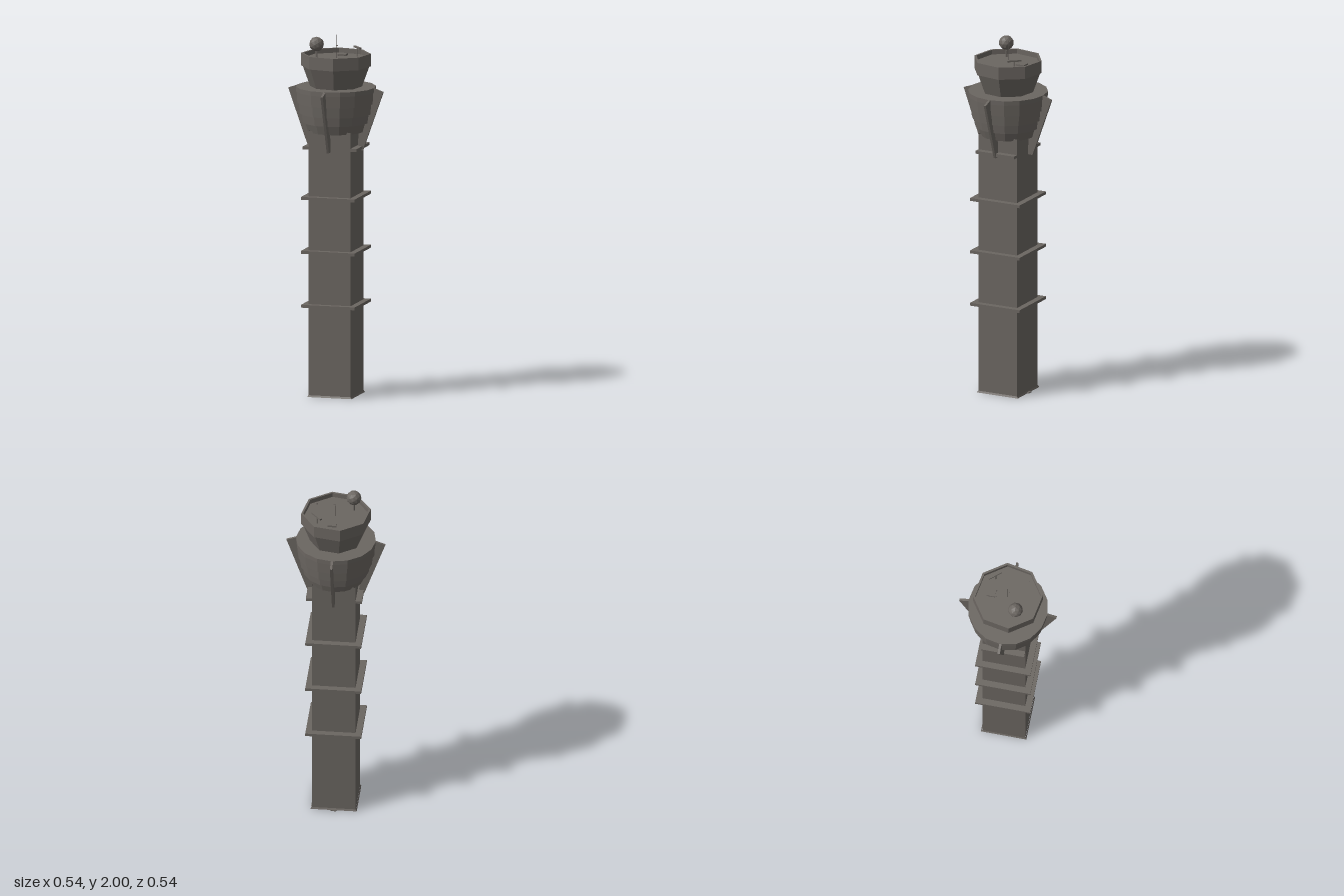
import * as THREE from 'three';

export function createModel() {
  const model = new THREE.Group();
  const concrete = new THREE.MeshStandardMaterial({ color: 0x6b6661 });
  concrete.name = 'concrete';
  concrete.flatShading = true;
  concrete.side = THREE.DoubleSide;

  const add = (name, geometry, x = 0, y = 0, z = 0, turn = 0) => {
    const mesh = new THREE.Mesh(geometry, concrete);
    mesh.name = name;
    mesh.position.set(x, y, z);
    mesh.rotation.y = turn;
    model.add(mesh);
    return mesh;
  };
  const box = (name, w, h, d, x, y, z, turn) => add(name, new THREE.BoxGeometry(w, h, d), x, y, z, turn);
  const lathe = (name, points, sides, turn) =>
    add(name, new THREE.LatheGeometry(points.map(([r, y]) => new THREE.Vector2(r, y)), sides), 0, 0, 0, turn);
  // Open square tube given by its half widths
  const squareTube = (name, top, bottom, height) =>
    add(name, new THREE.CylinderGeometry(top * Math.SQRT2, bottom * Math.SQRT2, height, 4, 1, true),
      0, height / 2, 0, Math.PI / 4);

  // Shaft, open underneath, with a small plinth and a door step at the back
  squareTube('shaft', 0.12, 0.12, 1.48);
  squareTube('plinth', 0.122, 0.127, 0.01);
  box('doorStep', 0.03, 0.006, 0.015, 0, 0.003, -0.13);

  // Square ledges around the shaft
  const square = (half, Type) => new Type([[-1, -1], [1, -1], [1, 1], [-1, 1]]
    .map(([x, y]) => new THREE.Vector2(x * half, y * half)));
  const ledgeShape = square(0.154, THREE.Shape);
  ledgeShape.holes.push(square(0.12, THREE.Path));
  const ledge = new THREE.ExtrudeGeometry(ledgeShape, { depth: 0.016, bevelEnabled: false });
  ledge.rotateX(-Math.PI / 2);
  for (const y of [0.5, 0.8, 1.1]) add('ledge', ledge, 0, y, 0);

  // Short ledges on the two sides below the gallery
  for (const s of [-1, 1]) box('sideLedge', 0.035, 0.016, 0.24, s * 0.137, 1.383, 0);

  // Stepped sixteen-sided gallery
  lathe('gallery', [
    [0, 1.467], [0.155, 1.467], [0.17, 1.517], [0.183, 1.517], [0.19, 1.567],
    [0.2, 1.567], [0.205, 1.625], [0.213, 1.625], [0.217, 1.69], [0.22, 1.69],
    [0.22, 1.715], [0, 1.715],
  ], 16);

  // Four slanted fins around the gallery
  const finShape = new THREE.Shape([[0.128, 1.368], [0.155, 1.366], [0.272, 1.695], [0.215, 1.715], [0.15, 1.52], [0.13, 1.45]]
    .map(([x, y]) => new THREE.Vector2(x, y)));
  const fin = new THREE.ExtrudeGeometry(finShape, { depth: 0.013, bevelEnabled: false });
  fin.translate(0, 0, -0.0065);
  for (let i = 0; i < 4; i++) add('fin', fin, 0, 0, 0, i * Math.PI / 2);

  // Octagonal cab with a parapet and a sunken roof
  lathe('cab', [
    [0.143, 1.715], [0.184, 1.828], [0.192, 1.828], [0.192, 1.898],
    [0.18, 1.898], [0.18, 1.872], [0, 1.872],
  ], 8, 0.21);

  // Radar dome
  add('radarDome', new THREE.IcosahedronGeometry(0.041, 1), -0.093, 1.954, 0.06);
  add('domeStand', new THREE.CylinderGeometry(0.006, 0.006, 0.045, 6), -0.093, 1.894, 0.06);

  // Rotating radar bar on its post
  box('radarBar', 0.08, 0.009, 0.012, 0.097, 1.92, -0.09, -0.86);
  add('radarPost', new THREE.CylinderGeometry(0.004, 0.004, 0.046, 6), 0.094, 1.894, -0.087);

  // Roof hatch with two hinges
  box('roofHatch', 0.048, 0.01, 0.048, 0.01, 1.877, -0.094);
  for (const x of [-0.006, 0.028]) box('hatchHinge', 0.003, 0.006, 0.01, x, 1.876, -0.066);

  // Slim mast with small tips
  add('mast', new THREE.CylinderGeometry(0.0008, 0.0015, 0.128, 4), 0.002, 1.936, -0.005);
  box('mastArm', 0.012, 0.003, 0.003, 0.007, 1.942, 0.005);
  box('roofLight', 0.004, 0.008, 0.004, 0.115, 1.876, 0.096);

  return model;
}
